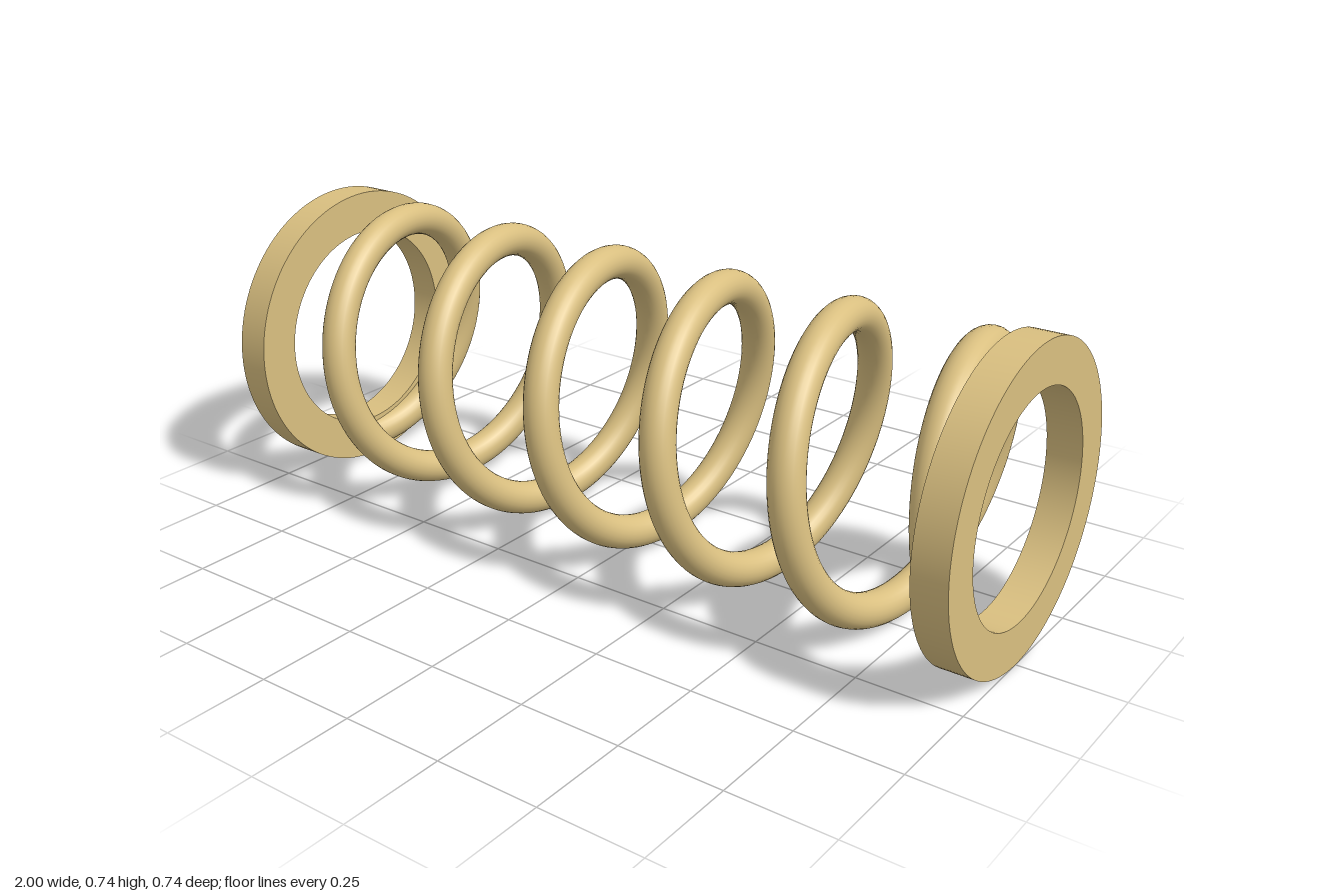
import * as THREE from 'three';
import { toCreasedNormals } from 'three/addons/utils/BufferGeometryUtils.js';

const RING_OUTER = 0.368, RING_INNER = 0.264, RING_WIDTH = 0.083;
const COIL_RADIUS = 0.316, WIRE_RADIUS = 0.041;
const COIL_END = 0.935, TURNS = 5.75;

// Helix along x, starting at the bottom and turning back, up, front
class Helix extends THREE.Curve {
  getPoint(t, target = new THREE.Vector3()) {
    const a = t * TURNS * Math.PI * 2;
    return target.set(
      (2 * t - 1) * COIL_END,
      -Math.cos(a) * COIL_RADIUS,
      -Math.sin(a) * COIL_RADIUS
    );
  }
}

export function createModel() {
  const model = new THREE.Group();
  model.name = 'compressionSpring';
  const metal = new THREE.MeshStandardMaterial({ color: 0xd9bf80 });

  const add = (name, geometry) => {
    const mesh = new THREE.Mesh(geometry, metal);
    mesh.name = name;
    model.add(mesh);
    return mesh;
  };

  // Flat end rings with a rectangular section
  const h = RING_WIDTH / 2;
  const section = [
    [RING_INNER, -h], [RING_OUTER, -h], [RING_OUTER, h], [RING_INNER, h], [RING_INNER, -h],
  ].map(([r, y]) => new THREE.Vector2(r, y));
  const ring = toCreasedNormals(new THREE.LatheGeometry(section, 128), Math.PI / 6);
  ring.rotateZ(-Math.PI / 2);
  add('leftEndRing', ring).position.x = 1 - h;
  add('rightEndRing', ring).position.x = -1 + h;

  // Coiled wire
  const helix = new Helix();
  add('coil', new THREE.TubeGeometry(helix, 560, WIRE_RADIUS, 24, false));

  // Discs closing the two wire ends
  const forward = new THREE.Vector3(0, 0, 1);
  for (const t of [0, 1]) {
    const cap = add(t ? 'leftWireEnd' : 'rightWireEnd', new THREE.CircleGeometry(WIRE_RADIUS, 24));
    const outward = helix.getTangent(t).multiplyScalar(t ? 1 : -1);
    cap.position.copy(helix.getPoint(t));
    cap.quaternion.setFromUnitVectors(forward, outward);
  }

  // Rest the rings on the ground
  for (const part of model.children) part.position.y += RING_OUTER;
  return model;
}
